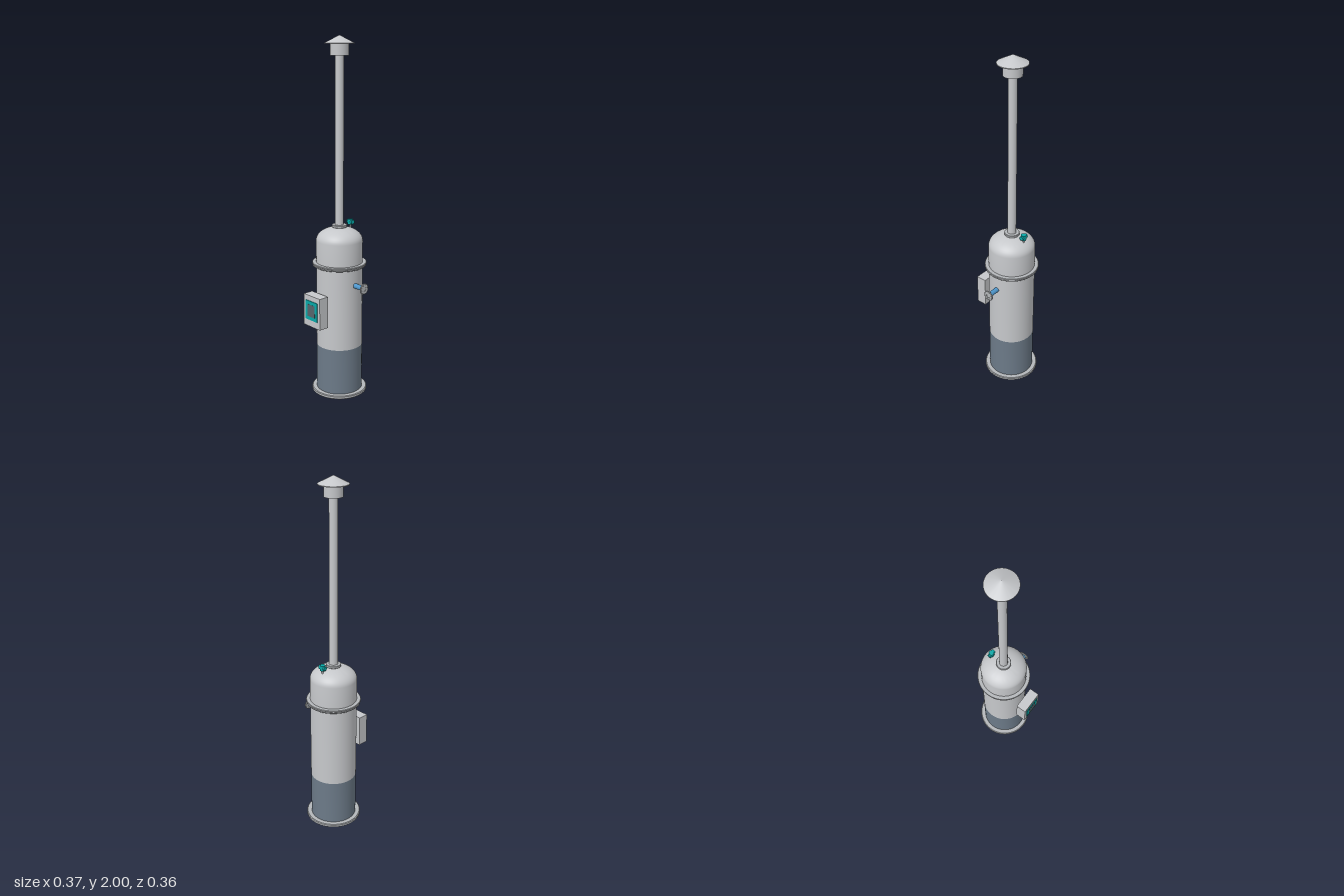
import * as THREE from 'three';
import { toCreasedNormals } from 'three/addons/utils/BufferGeometryUtils.js';

const mat = (name, color, side = THREE.FrontSide) => {
  const m = new THREE.MeshStandardMaterial({ color, side });
  m.name = name;
  return m;
};

export function createModel() {
  const steel = mat('light steel', 0xc6c8cb, THREE.DoubleSide);
  const flangeGrey = mat('flange grey', 0xb4b7ba);
  const slate = mat('slate band', 0x6c7a88, THREE.DoubleSide);
  const blue = mat('blue pipe', 0x4f97cc);
  const teal = mat('teal', 0x08a8a8);
  const screenGrey = mat('screen grey', 0x56646c);

  const model = new THREE.Group();
  const tower = new THREE.Group();
  tower.name = 'tower';
  tower.position.set(0.025, 0, -0.025);
  model.add(tower);

  const add = (name, geo, material, x = 0, y = 0, z = 0) => {
    const mesh = new THREE.Mesh(geo, material);
    mesh.name = name;
    mesh.position.set(x, y, z);
    tower.add(mesh);
    return mesh;
  };
  const lathe = (pts, seg = 64) => toCreasedNormals(
    new THREE.LatheGeometry(pts.map(([r, y]) => new THREE.Vector2(r, y)), seg), 0.6);
  // Flat ring with a slightly chamfered rim
  const ring = (inner, outer, h, c = 0.004) => lathe([
    [inner, 0], [outer - c, 0], [outer, c], [outer, h - c], [outer - c, h], [inner, h], [inner, 0]]);
  const cyl = (r, h, seg = 40) => new THREE.CylinderGeometry(r, r, h, seg);

  // Hollow shell: slate skirt, steel body, domed head
  add('skirt', lathe([[0.13, 0.01], [0.13, 0.285]]), slate);
  add('body', lathe([[0.13, 0.285], [0.13, 0.76]]), steel);
  const dome = [[0.13, 0.76], [0.13, 0.895]];
  for (let i = 1; i <= 12; i++) {
    const a = (i / 12) * Math.PI / 2;
    dome.push([0.13 * Math.cos(a), 0.895 + 0.075 * Math.sin(a)]);
  }
  add('domedHead', lathe(dome), steel);

  // Base flange and the pair of flanges under the head
  add('baseFlange', ring(0.088, 0.157, 0.02), flangeGrey);
  add('lowerHeadFlange', ring(0.128, 0.15, 0.01, 0.002), flangeGrey, 0, 0.752);
  add('upperHeadFlange', ring(0.128, 0.152, 0.009, 0.002), flangeGrey, 0, 0.762);

  // Chimney with collar and rain cap
  add('chimneyFlange', ring(0.02, 0.042, 0.014, 0.002), flangeGrey, 0, 0.969);
  add('chimney', cyl(0.0235, 0.95), steel, 0, 1.435);
  add('capCollar', cyl(0.05, 0.065), steel, 0, 1.9275);
  add('rainCap', lathe([[0, 1.955], [0.08, 1.955], [0.08, 1.959], [0, 2]]), steel);

  // Front nozzle with its flange
  add('nozzle', cyl(0.014, 0.08, 24), blue, 0, 0.657, 0.16).rotation.x = Math.PI / 2;
  add('nozzleFlange', ring(0.012, 0.03, 0.008, 0.002), flangeGrey, 0, 0.657, 0.196).rotation.x = Math.PI / 2;
  add('nozzleCover', cyl(0.014, 0.004, 24), flangeGrey, 0, 0.657, 0.2).rotation.x = Math.PI / 2;
  for (let i = 0; i < 8; i++) {
    const a = (i + 0.5) * Math.PI / 4;
    add('nozzleBolt', cyl(0.003, 0.012, 6), flangeGrey,
      0.023 * Math.cos(a), 0.657 + 0.023 * Math.sin(a), 0.2).rotation.x = Math.PI / 2;
  }

  // Sensor on the dome
  add('sensorStem', cyl(0.005, 0.05, 16), steel, 0.083, 0.952);
  add('sensorHead', cyl(0.015, 0.03, 20), teal, 0.083, 0.985);
  add('sensorHousing', cyl(0.012, 0.042, 20), teal, 0.083, 0.985).rotation.x = Math.PI / 2;

  // Control cabinet with display
  add('controlCabinet', new THREE.BoxGeometry(0.06, 0.18, 0.135), steel, -0.175, 0.52);
  add('displayFrame', new THREE.BoxGeometry(0.004, 0.11, 0.1), teal, -0.207, 0.525);
  add('displayScreen', new THREE.BoxGeometry(0.003, 0.07, 0.06), screenGrey, -0.2085, 0.525);

  return model;
}
